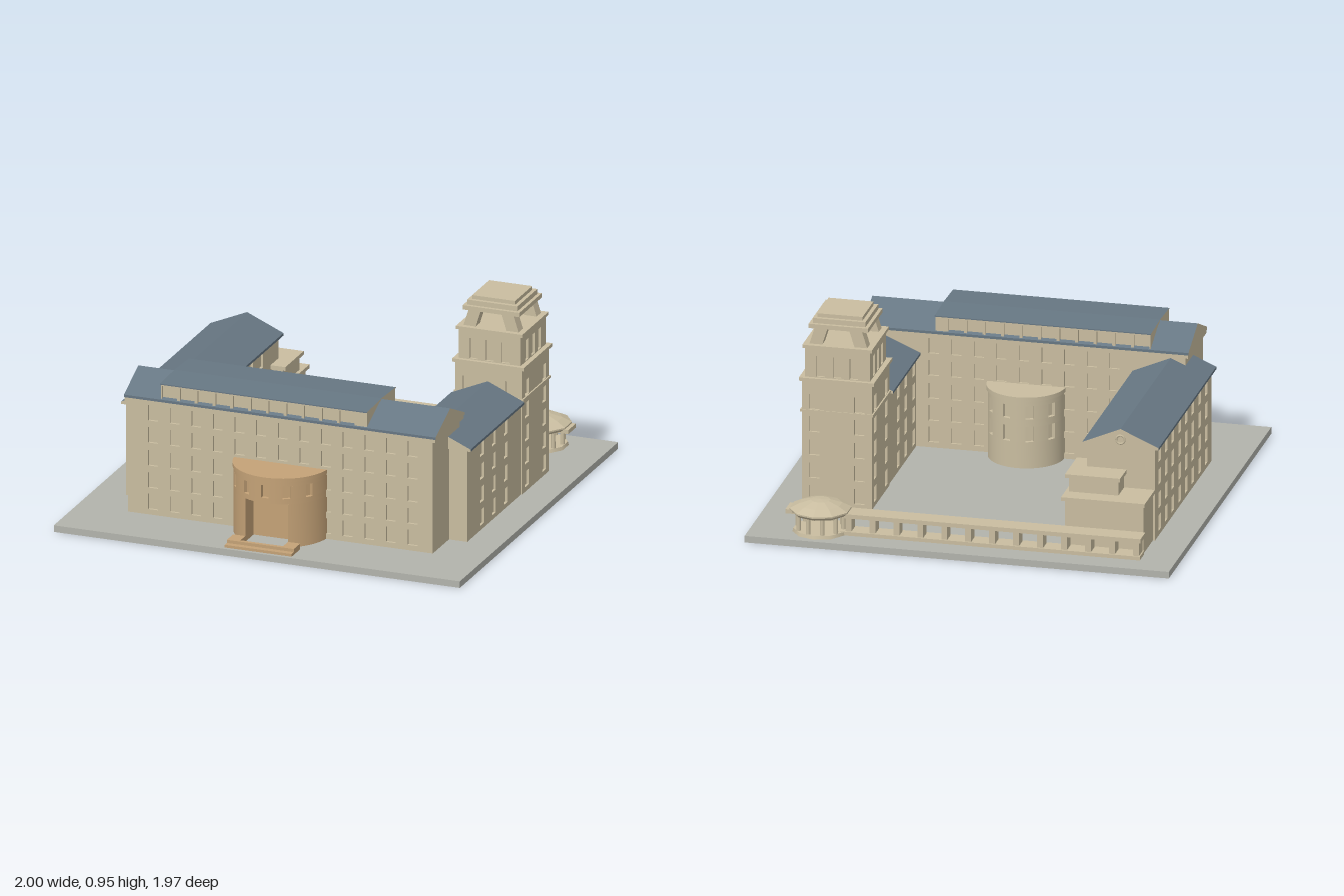
import * as THREE from 'three';
import { toCreasedNormals } from 'three/addons/utils/BufferGeometryUtils.js';

const mat = (name, color) => Object.assign(new THREE.MeshStandardMaterial({ color }), { name });

export function createModel() {
  const root = new THREE.Group();
  root.name = 'courtyardBuilding';
  const stone = mat('cream stone', 0xc9bda0);
  const tan = mat('tan stone', 0xc4a277);
  const slate = mat('blue slate', 0x677783);
  const paving = mat('grey paving', 0xb2b3ac);

  const add = (name, geo, m, parent = root) => {
    const mesh = new THREE.Mesh(geo, m);
    mesh.name = name;
    parent.add(mesh);
    return mesh;
  };
  // Box given by its limits on each axis
  const box = (name, x0, x1, y0, y1, z0, z1, m = stone, parent = root) => {
    const b = add(name, new THREE.BoxGeometry(x1 - x0, y1 - y0, z1 - z0), m, parent);
    b.position.set((x0 + x1) / 2, (y0 + y1) / 2, (z0 + z1) / 2);
    return b;
  };
  const spread = (n, first, step) => Array.from({ length: n }, (_, i) => first + i * step);

  // Block whose four walls have recessed windows; columns are in world x or z
  const RECESS = 0.012;
  function block(name, [x0, x1], [y0, y1], [z0, z1], cols, rows, ww = 0.048, wh = 0.075) {
    const g = new THREE.Group();
    g.name = name;
    root.add(g);
    const d = RECESS, cx = (x0 + x1) / 2, cz = (z0 + z1) / 2;
    box('core', x0 + d, x1 - d, y0, y1, z0 + d, z1 - d, stone, g);
    const wall = (side, angle, w, dist, toLocal) => {
      const s = new THREE.Shape([[-w / 2, y0], [w / 2, y0], [w / 2, y1], [-w / 2, y1]].map(p => new THREE.Vector2(...p)));
      for (const c of cols[side] || []) for (const r of rows) {
        const u = toLocal(c), a = ww / 2, b = wh / 2;
        s.holes.push(new THREE.Path([[u - a, r - b], [u - a, r + b], [u + a, r + b], [u + a, r - b]].map(p => new THREE.Vector2(...p))));
      }
      const m = add(side + 'Wall', new THREE.ExtrudeGeometry(s, { depth: d, bevelEnabled: false }), stone, g);
      m.rotation.y = angle;
      m.position.set(cx + Math.sin(angle) * (dist - d), 0, cz + Math.cos(angle) * (dist - d));
    };
    const w = x1 - x0, l = z1 - z0;
    wall('front', 0, w, l / 2, c => c - cx);
    wall('back', Math.PI, w, l / 2, c => cx - c);
    wall('left', Math.PI / 2, l - 2 * d, w / 2, c => cz - c);
    wall('right', -Math.PI / 2, l - 2 * d, w / 2, c => c - cz);
  }

  // Gabled roof with stone gable ends, running along z
  function roof(name, halfWidth, length, rise, eave) {
    const s = new THREE.Shape([[-halfWidth, 0], [halfWidth, 0], [halfWidth, eave], [0, rise], [-halfWidth, eave]].map(p => new THREE.Vector2(...p)));
    const geo = new THREE.ExtrudeGeometry(s, { depth: length, bevelEnabled: false });
    geo.translate(0, 0, -length / 2);
    return add(name, geo, [stone, slate]);
  }

  box('base', -1, 1, 0, 0.032, -0.985, 0.985, paving);

  // Main front range
  const mainCols = spread(13, -0.628, 0.1065);
  block('frontRange', [-0.75, 0.75], [0.03, 0.58], [0.355, 0.69],
    { front: mainCols, back: mainCols.slice(2, -2) }, [0.095, 0.2, 0.308, 0.42, 0.528]);
  box('frontCornice', -0.765, 0.765, 0.575, 0.592, 0.343, 0.697);
  const mainRoof = roof('frontRoof', 0.18, 1.535, 0.093, 0.012);
  mainRoof.rotation.y = Math.PI / 2;
  mainRoof.position.set(0, 0.592, 0.52);

  // Attic storey breaking through the main roof
  const attic = spread(11, -0.545, 0.0875);
  block('attic', [-0.588, 0.428], [0.595, 0.677], [0.346, 0.694], { front: attic, back: attic }, [0.636], 0.073, 0.066);
  const atticRoof = roof('atticRoof', 0.178, 1.02, 0.012, 0.005);
  atticRoof.rotation.y = Math.PI / 2;
  atticRoof.position.set(-0.08, 0.676, 0.52);

  // Side wings
  const wingRows = [0.092, 0.203, 0.315, 0.428];
  const longCols = spread(8, 0.385, -0.128);
  block('rightWing', [-0.84, -0.52], [0.03, 0.485], [-0.6, 0.49],
    { right: longCols, left: longCols.slice(1, 7) }, wingRows);
  roof('rightWingRoof', 0.18, 1.11, 0.09, 0.012).position.set(-0.68, 0.477, -0.055);
  const shortCols = [0.306, 0.158, 0.01];
  block('leftWing', [0.52, 0.84], [0.03, 0.485], [-0.18, 0.49], { left: shortCols, right: shortCols.slice(0, 3) }, wingRows);
  roof('leftWingRoof', 0.18, 0.67, 0.09, 0.012).position.set(0.68, 0.477, 0.165);
  const oculus = add('gableOculus', new THREE.TorusGeometry(0.02, 0.005, 6, 20), stone);
  oculus.position.set(-0.68, 0.515, -0.61);

  // Stepped annex behind the right wing
  box('lowerAnnex', -0.83, -0.46, 0.03, 0.265, -0.78, -0.5);
  box('lowerAnnexCornice', -0.84, -0.445, 0.262, 0.28, -0.795, -0.487);
  box('upperAnnex', -0.695, -0.462, 0.28, 0.352, -0.712, -0.51);
  box('upperAnnexCornice', -0.707, -0.447, 0.35, 0.368, -0.727, -0.498);

  // Tower
  const TX = 0.68, TZ = -0.35;
  const slab = (name, h, y0, y1) => box(name, TX - h, TX + h, y0, y1, TZ - h, TZ + h);
  const xs = o => o.map(v => TX + v), zs = o => o.map(v => TZ + v);
  const two = [-0.106, 0.106], three = [-0.078, 0, 0.078];
  block('towerShaft', [TX - 0.165, TX + 0.165], [0.03, 0.64], [TZ - 0.168, TZ + 0.168],
    { front: xs(two), back: xs(two), left: zs(two), right: zs(two) }, [...wingRows, 0.537]);
  slab('towerBand', 0.172, 0.487, 0.498);
  slab('towerCornice', 0.177, 0.638, 0.654);
  block('towerUpperStage', [TX - 0.153, TX + 0.153], [0.65, 0.8], [TZ - 0.158, TZ + 0.158],
    { front: xs(three), back: xs(three), left: zs(three), right: zs(three) }, [0.708], 0.04, 0.1);
  slab('upperStageCornice', 0.164, 0.795, 0.81);

  // Belfry piers lean inward in x
  for (const sx of [-1, 1]) for (const sz of [-1, 1]) {
    const geo = new THREE.BoxGeometry(0.06, 0.08, 0.055);
    const p = geo.attributes.position;
    for (let i = 0; i < p.count; i++) if (p.getY(i) > 0) p.setX(i, p.getX(i) - sx * 0.025);
    geo.computeVertexNormals();
    add('belfryPier', geo, stone).position.set(TX + sx * 0.106, 0.85, TZ + sz * 0.112);
  }
  slab('belfryLintel', 0.14, 0.885, 0.906);
  slab('belfryStep', 0.124, 0.906, 0.93);
  slab('belfryCap', 0.106, 0.93, 0.948);

  // Half-round drum outline; each gap cuts in to two inner points
  const polar = (r, a) => new THREE.Vector2(r * Math.cos(a), r * Math.sin(a));
  function drumPart(name, r, y0, y1, gaps, m, parent) {
    let pts = spread(49, 0, Math.PI / 48).filter(a => !gaps.some(g => a >= g.a0 && a <= g.a1)).map(a => [a, polar(r, a)]);
    for (const g of gaps) pts.push([g.a0, polar(r, g.a0)], [g.a0 + 1e-4, g.in0], [g.a1 - 1e-4, g.in1], [g.a1, polar(r, g.a1)]);
    pts = pts.sort((a, b) => a[0] - b[0]).map(p => p[1]);
    const geo = new THREE.ExtrudeGeometry(new THREE.Shape(pts), { depth: y1 - y0, bevelEnabled: false });
    geo.rotateX(-Math.PI / 2);
    add(name, toCreasedNormals(geo, 0.4), m, parent).position.y = y0;
  }
  const slots = (r, degrees, half) => degrees.map(deg => {
    const a = (90 + deg) * Math.PI / 180;
    return { a0: a - half, a1: a + half, in0: polar(r - 0.018, a - half), in1: polar(r - 0.018, a + half) };
  });

  // Entrance drum with a tall door recess
  const drum = new THREE.Group();
  drum.name = 'entranceDrum';
  drum.position.z = 0.66;
  drum.rotation.y = Math.PI;
  root.add(drum);
  const R = 0.226, doorA = Math.acos(0.105 / R);
  const door = { a0: doorA, a1: Math.PI - doorA, in0: new THREE.Vector2(0.105, 0.1), in1: new THREE.Vector2(-0.105, 0.1) };
  drumPart('doorStage', R, 0.03, 0.243, [door], tan, drum);
  drumPart('drumSill', R, 0.243, 0.268, [], tan, drum);
  drumPart('drumWindows', R, 0.268, 0.33, slots(R, [-54, -26, 0, 26, 54], 0.08), tan, drum);
  drumPart('drumHead', R, 0.33, 0.352, [], tan, drum);
  drumPart('drumRim', 0.231, 0.352, 0.37, [], tan, drum);

  // Entrance steps
  box('frontStep', -0.165, 0.165, 0.03, 0.045, 0.922, 0.967, tan);
  box('upperStep', -0.165, 0.165, 0.045, 0.06, 0.922, 0.94, tan);
  for (const s of [-1, 1]) box('stepCheek', s * 0.135 - 0.03, s * 0.135 + 0.03, 0.03, 0.06, 0.862, 0.922, tan);

  // Courtyard apse
  const apse = new THREE.Group();
  apse.name = 'courtyardApse';
  apse.position.z = 0.36;
  root.add(apse);
  const A = 0.178, apseSlots = slots(A, [-54, -18, 18, 54], 0.11);
  let y = 0.03;
  for (const [y0, y1] of [[0.16, 0.235], [0.27, 0.335]]) {
    drumPart('apseWall', A, y, y0, [], stone, apse);
    drumPart('apseWindows', A, y0, y1, apseSlots, stone, apse);
    y = y1;
  }
  drumPart('apseHead', A, y, 0.36, [], stone, apse);
  drumPart('apseRim', 0.185, 0.36, 0.38, [], stone, apse);

  // Rear colonnade
  box('colonnadePlinth', -0.835, 0.6, 0.03, 0.05, -0.87, -0.785);
  box('colonnadeRoof', -0.84, 0.835, 0.118, 0.138, -0.876, -0.782);
  for (const x of spread(13, -0.815, 0.113)) box('colonnadePier', x - 0.014, x + 0.014, 0.05, 0.118, -0.862, -0.796);

  // Rotunda pavilion
  const rot = new THREE.Group();
  rot.name = 'rotunda';
  rot.position.set(TX, 0, -0.83);
  root.add(rot);
  add('rotundaFloor', new THREE.CylinderGeometry(0.125, 0.13, 0.018, 10), stone, rot).position.y = 0.039;
  const profile = [[0, 0.125], [0.13, 0.125], [0.143, 0.138], [0.143, 0.145], [0.1, 0.166], [0.045, 0.183], [0, 0.186]];
  const dome = new THREE.LatheGeometry(profile.map(p => new THREE.Vector2(...p)), 10).toNonIndexed();
  dome.computeVertexNormals();
  add('rotundaRoof', dome, stone, rot);
  for (let i = 0; i < 10; i++) {
    const a = (i + 0.5) * Math.PI / 5;
    add('rotundaColumn', new THREE.CylinderGeometry(0.01, 0.011, 0.08, 10), stone, rot)
      .position.set(0.108 * Math.sin(a), 0.087, 0.108 * Math.cos(a));
  }
  return root;
}
